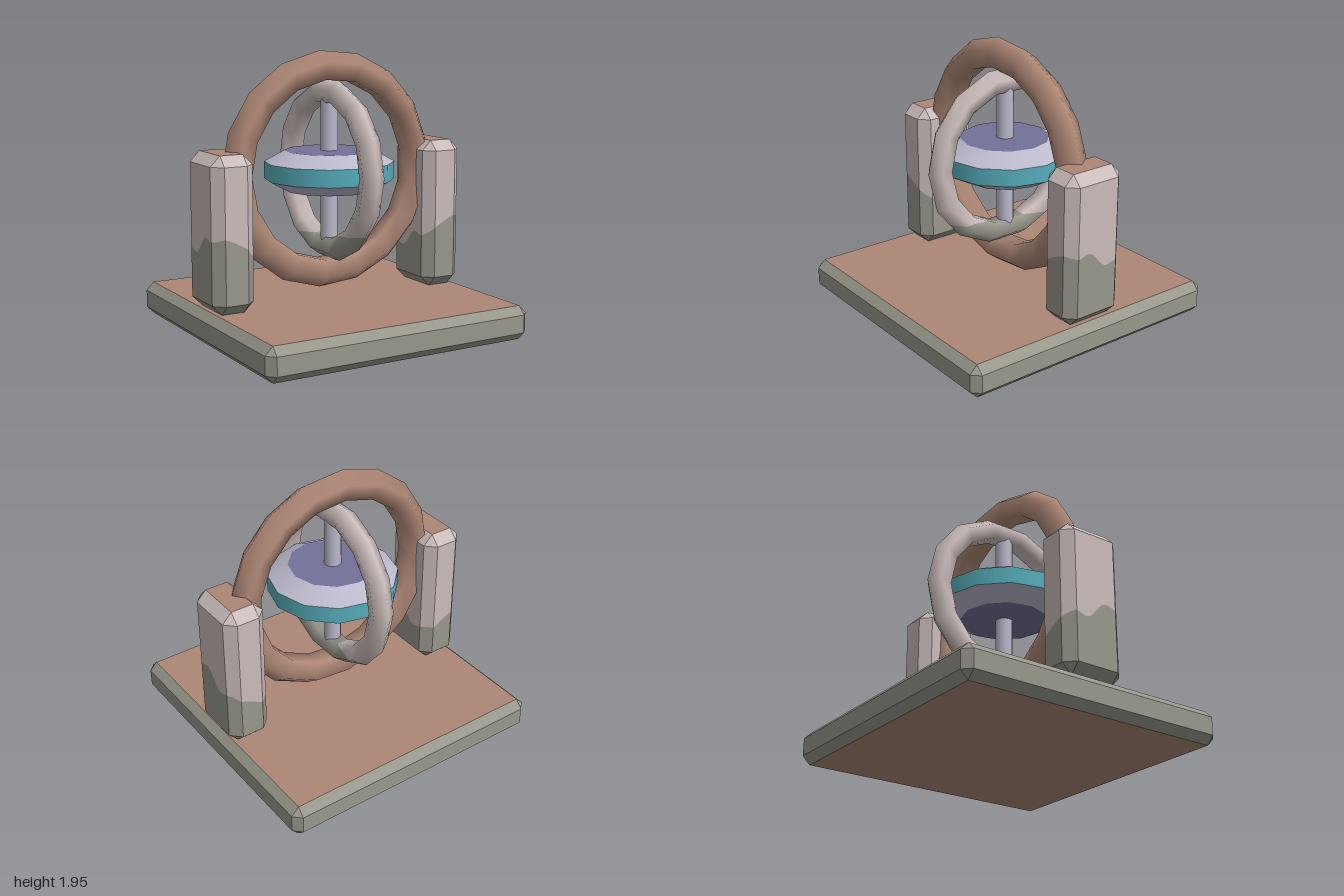
import * as THREE from 'three';

const paint = (name, color) => {
  const m = new THREE.MeshStandardMaterial({ color });
  m.name = name;
  return m;
};

// Block with every edge chamfered by c; open at the top and bottom, standing on y = 0
function chamferedSides(w, d, h, c, steps) {
  const a = w - c, b = d - c;
  const corners = [[-a, d], [a, d], [w, b], [w, -b], [a, -d], [-a, -d], [-w, -b], [-w, b]];
  const outline = [];
  corners.forEach(([x, z], i) => {
    const [x2, z2] = corners[(i + 1) % 8];
    for (let k = 0; k < steps; k++) outline.push([x + (x2 - x) * k / steps, z + (z2 - z) * k / steps]);
  });
  const inset = outline.map(([x, z]) => [THREE.MathUtils.clamp(x, -a, a), THREE.MathUtils.clamp(z, -b, b)]);
  const loops = [[inset, 0], [outline, c], [outline, h - c], [inset, h]];
  const pos = [];
  for (let l = 0; l < 3; l++) {
    const [low, y0] = loops[l], [high, y1] = loops[l + 1];
    low.forEach((p, i) => {
      const j = (i + 1) % low.length;
      const A = [p[0], y0, p[1]], B = [low[j][0], y0, low[j][1]];
      const C = [high[j][0], y1, high[j][1]], D = [high[i][0], y1, high[i][1]];
      pos.push(...A, ...B, ...C, ...A, ...C, ...D);
    });
  }
  const g = new THREE.BufferGeometry();
  g.setAttribute('position', new THREE.Float32BufferAttribute(pos, 3));
  g.computeVertexNormals();
  return g;
}

// Cuts a geometry along a height line y = line(x, z); returns [above, below]
function splitByHeight(geometry, line) {
  const g = geometry.index ? geometry.toNonIndexed() : geometry;
  const p = g.attributes.position, n = g.attributes.normal;
  return [1, -1].map((side) => {
    const pos = [], nor = [];
    for (let t = 0; t < p.count; t += 3) {
      const tri = [t, t + 1, t + 2].map((i) => {
        const v = new THREE.Vector3().fromBufferAttribute(p, i);
        return { v, n: new THREE.Vector3().fromBufferAttribute(n, i), d: side * (v.y - line(v.x, v.z)) };
      });
      const poly = [];
      tri.forEach((s, i) => {
        const e = tri[(i + 1) % 3];
        if (s.d >= 0) poly.push(s);
        if ((s.d >= 0) !== (e.d >= 0)) {
          const k = s.d / (s.d - e.d);
          poly.push({ v: s.v.clone().lerp(e.v, k), n: s.n.clone().lerp(e.n, k) });
        }
      });
      for (let i = 1; i + 1 < poly.length; i++) {
        for (const q of [poly[0], poly[i], poly[i + 1]]) {
          pos.push(...q.v.toArray());
          nor.push(...q.n.toArray());
        }
      }
    }
    const out = new THREE.BufferGeometry();
    out.setAttribute('position', new THREE.Float32BufferAttribute(pos, 3));
    out.setAttribute('normal', new THREE.Float32BufferAttribute(nor, 3));
    return out;
  });
}

export function createModel() {
  const model = new THREE.Group();
  model.name = 'gyroscope';
  const bronze = paint('bronze', 0xad8775);
  const stone = paint('pale stone', 0xc9bcba);
  const moss = paint('grey stone', 0x98978c);
  const teal = paint('teal', 0x56adba);
  const lavender = paint('lavender', 0xbcb9cc);
  const violet = paint('violet', 0x74719a);

  const add = (name, geometry, material, x = 0, y = 0) => {
    const mesh = new THREE.Mesh(geometry, material);
    mesh.name = name;
    mesh.position.set(x, y, 0);
    model.add(mesh);
    return mesh;
  };
  const addCaps = (name, w, d, x, y, h) => {
    add(name + 'Top', new THREE.PlaneGeometry(2 * w, 2 * d).rotateX(-Math.PI / 2), bronze, x, y + h);
    add(name + 'Bottom', new THREE.PlaneGeometry(2 * w, 2 * d).rotateX(Math.PI / 2), bronze, x, y);
  };

  // Base slab
  const baseH = 0.235;
  add('baseRim', chamferedSides(1, 1, baseH, 0.055, 1), moss);
  addCaps('base', 0.945, 0.945, 0, 0, baseH);

  // Two posts with a wavy grey lower half
  const wave = (x, z) => 0.62 + 0.07 * Math.sin(8 * (Math.abs(x) - 0.78))
    + 0.07 * Math.sin(8 * z) + 0.025 * Math.sin(28 * z);
  for (const [name, side] of [['leftPost', 1], ['rightPost', -1]]) {
    const x = side * 0.828;
    const sides = chamferedSides(0.152, 0.23, 1.06, 0.07, 14).translate(x, baseH, 0);
    const [upper, lower] = splitByHeight(sides, wave);
    add(name + 'Upper', upper, stone);
    add(name + 'Lower', lower, moss);
    addCaps(name, 0.082, 0.16, x, baseH, 1.06);
  }

  // Outer ring, facing the front
  const hubY = 1.12;
  add('outerRing', new THREE.TorusGeometry(0.72, 0.11, 5, 17).rotateZ(Math.PI), bronze, 0, hubY);

  // Inner ring, turned a quarter, grey at its lowest part
  const inner = new THREE.TorusGeometry(0.553, 0.087, 5, 14).rotateY(Math.PI / 2).translate(0, hubY, 0);
  const [innerUpper, innerLower] = splitByHeight(inner, (x, z) => 0.67 + 0.1 * z);
  add('innerRingUpper', innerUpper, stone);
  add('innerRingLower', innerLower, moss);

  // Axle and spinning rotor
  add('axle', new THREE.CylinderGeometry(0.06, 0.06, 1.08, 12), lavender, 0, hubY);
  const R = 0.453, r = 0.31, band = 0.06, half = 0.138;
  add('rotorBand', new THREE.CylinderGeometry(R, R, 2 * band, 12, 1, true), teal, 0, hubY);
  const slopeY = hubY + (band + half) / 2;
  add('rotorUpperSlope', new THREE.CylinderGeometry(r, R, half - band, 12, 1, true), lavender, 0, slopeY);
  add('rotorLowerSlope', new THREE.CylinderGeometry(R, r, half - band, 12, 1, true), lavender, 0, 2 * hubY - slopeY);
  for (const s of [1, -1]) {
    const cap = new THREE.CircleGeometry(r, 12).rotateX(-s * Math.PI / 2);
    add(s > 0 ? 'rotorTop' : 'rotorBottom', cap, violet, 0, hubY + s * half);
  }
  return model;
}
